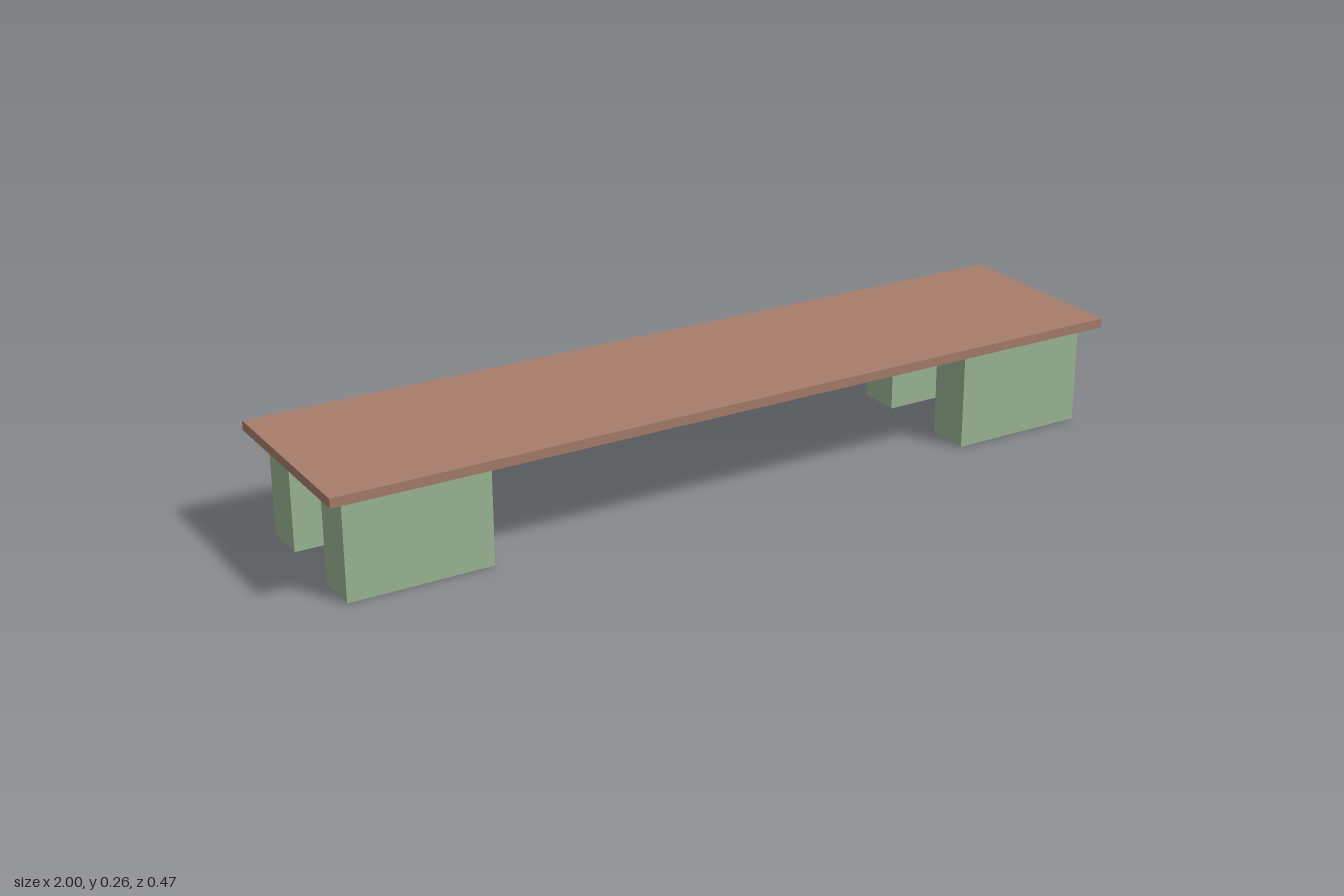
import * as THREE from 'three';

export function createModel() {
  const group = new THREE.Group();
  const brown = new THREE.MeshStandardMaterial({ color: 0xa67c6a, side: THREE.DoubleSide });
  brown.name = 'brown board';
  const green = new THREE.MeshStandardMaterial({ color: 0x9ab593 });
  green.name = 'green legs';

  const height = 0.262, thickness = 0.022;

  // Board: a shallow box, open underneath
  const boardGeometry = new THREE.BoxGeometry(2, thickness, 0.474);
  const corners = Array.from(boardGeometry.index.array);
  corners.splice(18, 6); // remove the bottom face
  boardGeometry.setIndex(corners);
  boardGeometry.clearGroups();
  const board = new THREE.Mesh(boardGeometry, brown);
  board.name = 'board';
  board.position.y = height - thickness / 2;
  group.add(board);

  // Four block legs reaching up inside the board
  const legHeight = height - 0.001;
  const legGeometry = new THREE.BoxGeometry(0.34, legHeight, 0.107);
  const legs = [
    ['frontLeftLeg', 0.785, 0.15],
    ['backLeftLeg', 0.785, -0.132],
    ['frontRightLeg', -0.79, 0.143],
    ['backRightLeg', -0.79, -0.139],
  ];
  for (const [name, x, z] of legs) {
    const leg = new THREE.Mesh(legGeometry, green);
    leg.name = name;
    leg.position.set(x, legHeight / 2, z);
    group.add(leg);
  }
  return group;
}
